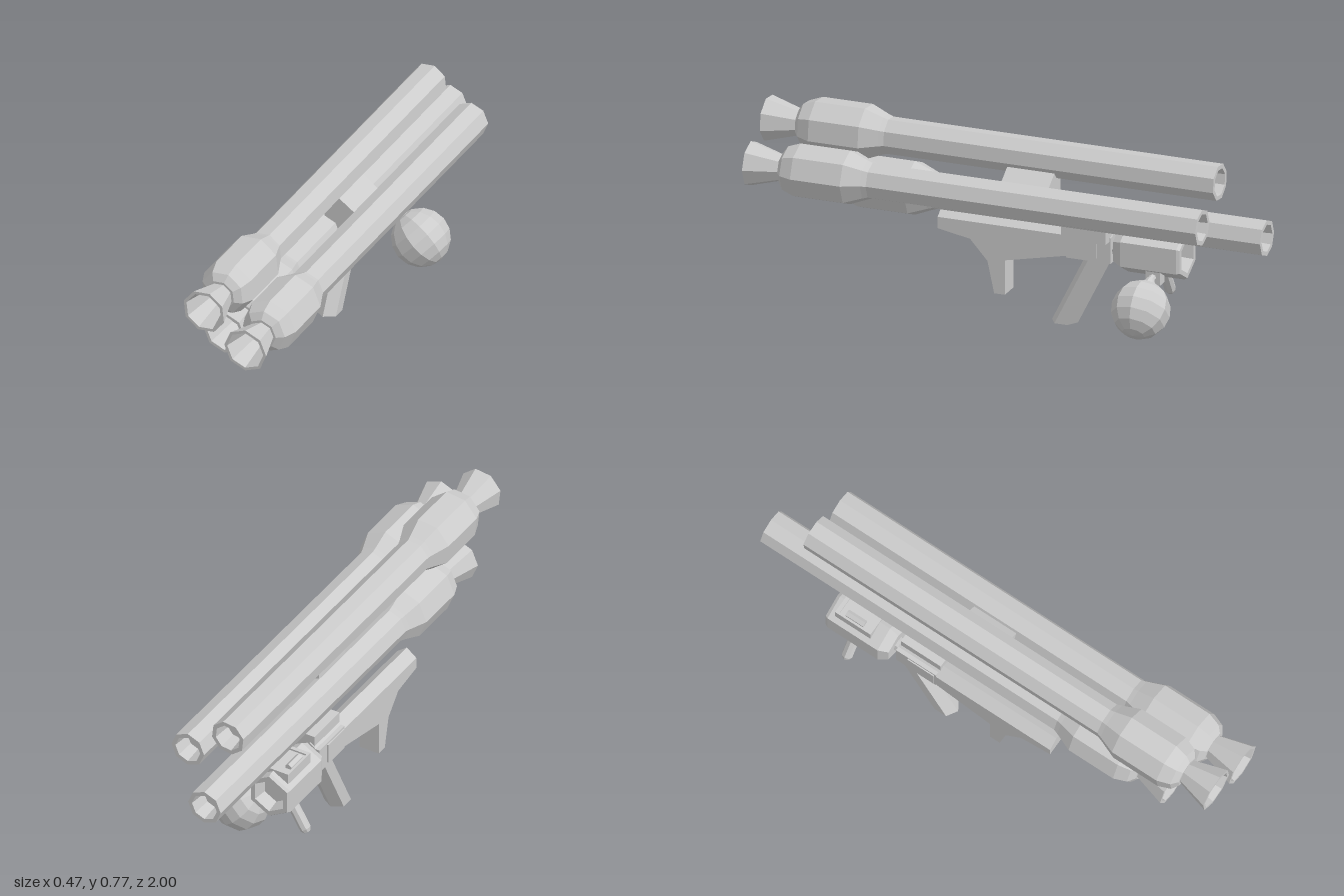
import * as THREE from 'three';

const material = new THREE.MeshStandardMaterial({ color: 0xcccccc, flatShading: true, side: THREE.DoubleSide });

export function createModel() {
  const model = new THREE.Group();

  const add = (name, geometry, x = 0, y = 0, z = 0) => {
    const mesh = new THREE.Mesh(geometry, material);
    mesh.name = name;
    mesh.position.set(x, y, z);
    model.add(mesh);
    return mesh;
  };

  // Box given by its limits on each axis
  const box = (name, [x0, x1], [y0, y1], [z0, z1]) =>
    add(name, new THREE.BoxGeometry(x1 - x0, y1 - y0, z1 - z0), (x0 + x1) / 2, (y0 + y1) / 2, (z0 + z1) / 2);

  // Faceted solid turned around the z axis from [radius, z] points
  const turned = (profile, sides) =>
    new THREE.LatheGeometry(profile.map(([r, z]) => new THREE.Vector2(r, z)), sides).rotateX(Math.PI / 2);

  // Polygon extruded along z
  const prism = (points, depth) =>
    new THREE.ExtrudeGeometry(new THREE.Shape(points.map(([x, y]) => new THREE.Vector2(x, y))),
      { depth, bevelEnabled: false });

  // Straight rod between two points
  const rod = (name, a, b, ra, rb, sides = 8) => {
    const from = new THREE.Vector3(...a), to = new THREE.Vector3(...b);
    const dir = to.clone().sub(from);
    const mesh = add(name, new THREE.CylinderGeometry(rb, ra, dir.length(), sides));
    mesh.position.copy(from).add(to).multiplyScalar(0.5);
    mesh.quaternion.setFromUnitVectors(new THREE.Vector3(0, 1, 0), dir.normalize());
  };

  // Three launch tubes: open rear, swollen chamber, flared nozzle
  const tubeProfile = [
    [0, -0.74], [0.046, -0.74], [0.054, -0.815], [0.071, -0.815], [0.071, 0.51],
    [0.078, 0.53], [0.107, 0.6], [0.107, 0.8], [0.088, 0.85], [0.06, 0.87], [0.05, 0.87],
    [0.088, 1], [0.076, 1], [0.047, 0.87], [0, 0.87],
  ];
  const tubes = [
    ['upperTube', -0.042, 0.671, 0, -0.28],
    ['leftTube', 0.132, 0.551, 0, 0],
    ['lowerTube', -0.053, 0.471, -0.185, 0],
  ];
  for (const [name, x, y, z, turn] of tubes) add(name, turned(tubeProfile, 8), x, y, z).rotation.z = turn;

  // Triangular bracket joining the tubes
  add('tubeBracket', prism(tubes.map(([, x, y]) => [x, y]).reverse(), 0.19), 0, 0, -0.172);

  // Hexagonal rear housing with recessed end
  const cx = -0.123;
  add('rearHousing', turned([
    [0, -0.6], [0.058, -0.6], [0.07, -0.652], [0.09, -0.652], [0.097, -0.64],
    [0.097, -0.415], [0.074, -0.378], [0, -0.378],
  ], 6), cx, 0.328, 0);
  rod('housingNeck', [cx, 0.322, -0.35], [cx, 0.322, -0.39], 0.03, 0.03);

  // Raised panel on the housing: base, frame rails and a small ridge
  box('panelBase', [-0.187, -0.08], [0.36, 0.425], [-0.62, -0.46]);
  for (const z of [-0.612, -0.468]) box('panelFrame', [-0.187, -0.1], [0.42, 0.432], [z - 0.008, z + 0.008]);
  box('panelFrame', [-0.187, -0.178], [0.42, 0.432], [-0.62, -0.46]);
  add('panelRidge', prism([[-0.177, 0.42], [-0.15, 0.42], [-0.15, 0.436], [-0.163, 0.446], [-0.177, 0.436]], 0.08), 0, 0, -0.58);

  // Slanted side handle
  rod('sideHandle', [-0.14, 0.275, -0.545], [-0.216, 0.148, -0.545], 0.022, 0.022);
  rod('sideHandleTip', [-0.216, 0.148, -0.545], [-0.223, 0.136, -0.545], 0.022, 0.015);

  // Round tank hanging from a short pipe
  add('tank', new THREE.SphereGeometry(0.112, 10, 8), 0.064, 0.162, -0.54).rotation.z = -2.32;
  box('pipeBlock', [-0.1, -0.055], [0.22, 0.3], [-0.57, -0.51]);
  const bend = new THREE.CatmullRomCurve3([[-0.07, 0.246], [-0.04, 0.248], [-0.022, 0.24], [0.0, 0.222]]
    .map(([x, y]) => new THREE.Vector3(x, y, -0.54)));
  add('tankPipe', new THREE.TubeGeometry(bend, 6, 0.014, 8));
  rod('tankCollar', [-0.035, 0.25, -0.54], [0.0, 0.222, -0.54], 0.014, 0.036);

  // Fore stock with its downward foregrip, cut from a side profile
  const half = 0.042;
  const stock = prism([
    [0.335, 0.357], [0.335, 0.312], [0.205, 0.288], [0.135, 0.21], [0.108, 0.085],
    [0.065, 0.085], [0.065, 0.222], [-0.19, 0.277], [-0.19, 0.357],
  ], half * 2).rotateY(-Math.PI / 2);
  add('foreStock', stock, cx + half, 0, 0);
  add('stockRidge', prism([[-half, 0.357], [half, 0.357], [0, 0.39]], 0.695), cx, 0, -0.36);

  // Centre frame, side plates and mount up to the lower tube
  box('centreFrame', [cx - half, cx + half], [0.268, 0.37], [-0.36, -0.18]);
  box('sidePlate', [cx - 0.047, cx + 0.047], [0.282, 0.362], [-0.305, -0.188]);
  box('tubeMount', [-0.14, -0.045], [0.355, 0.42], [-0.355, -0.175]);

  // Raked hexagonal grip
  const grip = new THREE.CylinderGeometry(1, 1, 0.275, 6).translate(0, 0.1375, 0).scale(0.0485, 1, 0.052);
  const p = grip.attributes.position;
  for (let i = 0; i < p.count; i++) p.setZ(i, p.getZ(i) - p.getY(i) * 0.5);
  grip.computeVertexNormals();
  add('rearGrip', grip, cx, 0, -0.16);

  return model;
}
